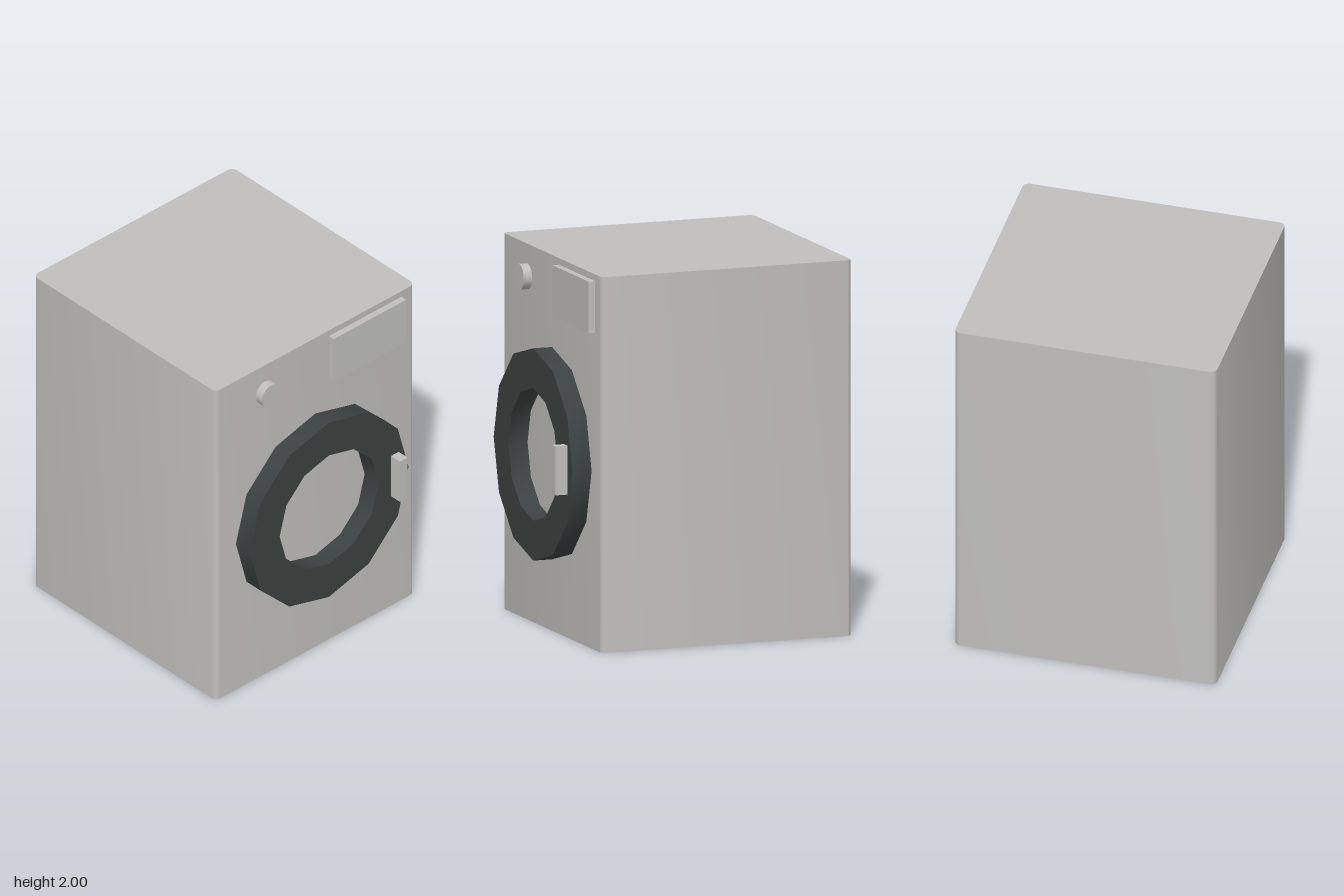
import * as THREE from 'three';
import { toCreasedNormals } from 'three/addons/utils/BufferGeometryUtils.js';

const FRONT_X = 0.615; // the door face of the cabinet

export function createModel() {
  const group = new THREE.Group();
  const casing = new THREE.MeshStandardMaterial({ name: 'casingGrey', color: 0xc0bfbd });
  const rubber = new THREE.MeshStandardMaterial({ name: 'darkSlate', color: 0x3b4241 });

  const add = (name, geometry, material, x, y, z) => {
    const mesh = new THREE.Mesh(geometry, material);
    mesh.name = name;
    mesh.position.set(x, y, z);
    group.add(mesh);
  };

  // Cabinet: rounded footprint extruded upwards
  const w = 0.705, d = 0.71, r = 0.035;
  const footprint = new THREE.Shape();
  footprint.absarc(w - r, d - r, r, 0, Math.PI / 2);
  footprint.absarc(-w + r, d - r, r, Math.PI / 2, Math.PI);
  footprint.absarc(-w + r, -d + r, r, Math.PI, Math.PI * 1.5);
  footprint.absarc(w - r, -d + r, r, Math.PI * 1.5, Math.PI * 2);
  const cabinet = new THREE.ExtrudeGeometry(footprint, { depth: 2, bevelEnabled: false, curveSegments: 6 });
  cabinet.rotateX(-Math.PI / 2);
  add('cabinet', toCreasedNormals(cabinet, 0.7), casing, FRONT_X - w, 0, 0);

  // Door ring: twelve-sided with an open middle
  const polygon = (radius) => Array.from({ length: 12 }, (_, i) => {
    const a = i * Math.PI / 6;
    return new THREE.Vector2(radius * Math.cos(a), radius * Math.sin(a));
  });
  const ringShape = new THREE.Shape(polygon(0.565));
  ringShape.holes.push(new THREE.Path(polygon(0.352)));
  const ring = new THREE.ExtrudeGeometry(ringShape, { depth: 0.107, bevelEnabled: false });
  ring.rotateY(Math.PI / 2);
  add('doorRing', toCreasedNormals(ring, 0.7), rubber, FRONT_X, 0.945, 0);

  // Door handle
  add('doorHandle', new THREE.BoxGeometry(0.07, 0.26, 0.055), casing, 0.757, 0.945, -0.468);

  // Detergent drawer
  add('detergentDrawer', new THREE.BoxGeometry(0.037, 0.275, 0.515), casing, FRONT_X + 0.0185, 1.827, -0.355);

  // Program dial
  const dial = new THREE.CylinderGeometry(0.068, 0.068, 0.047, 32).rotateZ(-Math.PI / 2);
  add('programDial', dial, casing, FRONT_X + 0.0235, 1.827, 0.355);

  return group;
}
